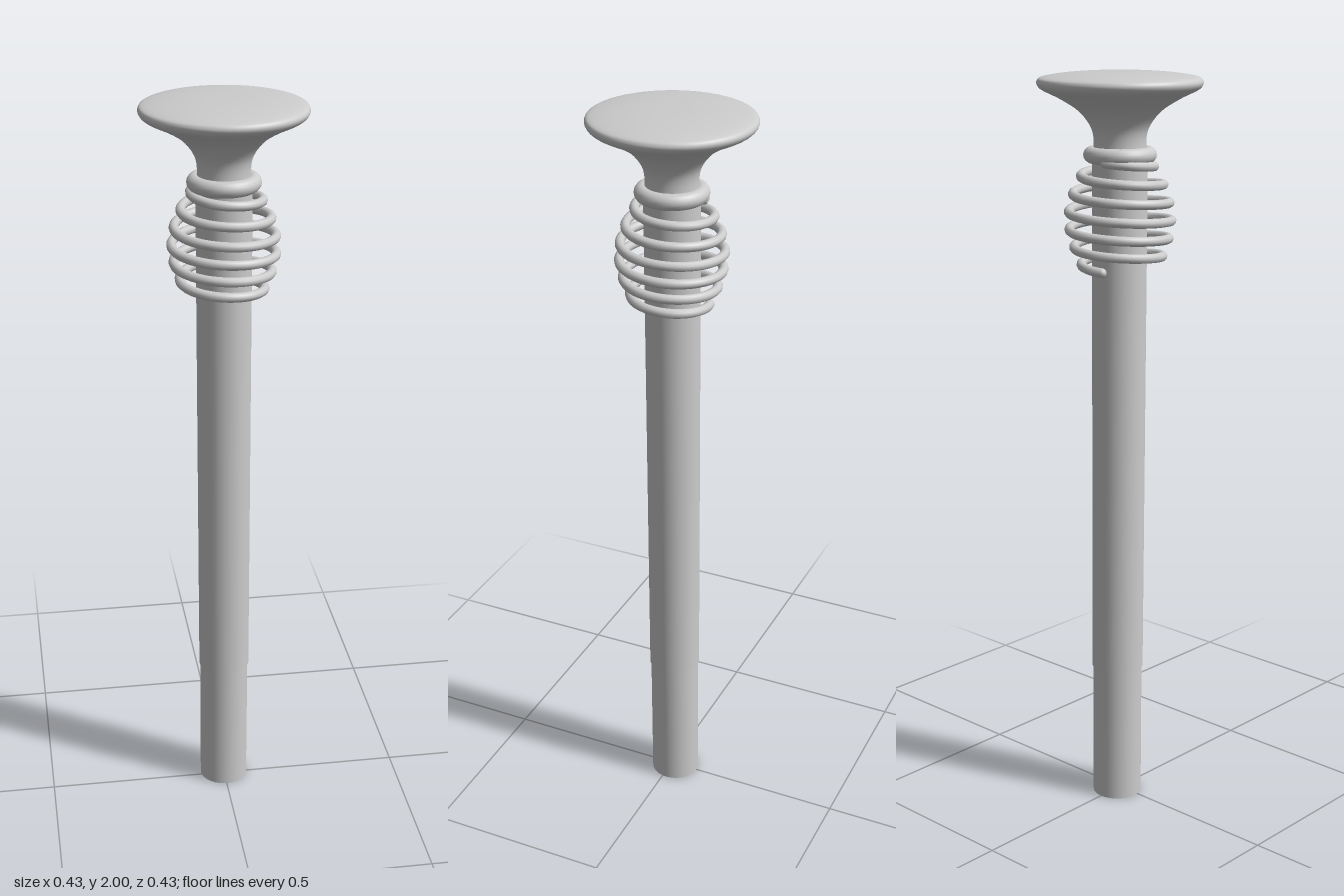
import * as THREE from 'three';

const steel = new THREE.MeshStandardMaterial({ color: 0xcccccc });
steel.name = 'steel grey';

function addPart(group, name, geometry) {
  const mesh = new THREE.Mesh(geometry, steel);
  mesh.name = name;
  group.add(mesh);
  return mesh;
}

// Round bar whose axis leans from a bottom centre to a top centre
function leaningBar(rTop, rBottom, bottom, top) {
  const height = top.y - bottom.y;
  const geometry = new THREE.CylinderGeometry(rTop, rBottom, height, 48, 1);
  const p = geometry.attributes.position;
  for (let i = 0; i < p.count; i++) {
    const t = p.getY(i) / height + 0.5;
    p.setXYZ(i,
      p.getX(i) + THREE.MathUtils.lerp(bottom.x, top.x, t),
      THREE.MathUtils.lerp(bottom.y, top.y, t),
      p.getZ(i) + THREE.MathUtils.lerp(bottom.z, top.z, t));
  }
  return geometry;
}

// Barrel-shaped coil, wound downwards and ending at the back
class BarrelCoil extends THREE.Curve {
  getPoint(t, target = new THREE.Vector3()) {
    const turns = 6;
    const angle = -Math.PI * 0.58 + (1 - t) * turns * Math.PI * 2;
    const r = 0.08 + 0.018 * t + 0.045 * Math.sin(Math.PI * t);
    const y = THREE.MathUtils.lerp(1.775, 1.497, t);
    return target.set(r * Math.cos(angle), y, r * Math.sin(angle));
  }
}

export function createModel() {
  const model = new THREE.Group();
  model.name = 'pushPin';

  // Domed head flaring out of a narrow neck
  const lower = new THREE.SplineCurve([
    [0.07, 1.78], [0.068, 1.83], [0.078, 1.865], [0.108, 1.902],
    [0.155, 1.932], [0.198, 1.953], [0.211, 1.965], [0.212, 1.977],
    [0.2, 1.986], [0.15, 1.994], [0.08, 1.999], [0, 2],
  ].map(([x, y]) => new THREE.Vector2(x, y)));
  const profile = lower.getPoints(48);
  profile[profile.length - 1].set(0, 2);
  addPart(model, 'head', new THREE.LatheGeometry(profile, 64));

  // Rounded collar under the neck
  const collar = new THREE.TorusGeometry(0.074, 0.021, 16, 48);
  collar.rotateX(Math.PI / 2);
  addPart(model, 'collar', collar).position.y = 1.79;

  // Slightly leaning shaft with a narrower tip
  const top = new THREE.Vector3(0, 1.8, 0);
  const step = new THREE.Vector3(0.001, 0.38, -0.009);
  const foot = new THREE.Vector3(0, 0, -0.012);
  addPart(model, 'shaft', leaningBar(0.072, 0.07, step, top));
  addPart(model, 'tip', leaningBar(0.067, 0.067, foot, step));

  // Coil spring with capped wire ends
  const coil = new BarrelCoil();
  addPart(model, 'spring', new THREE.TubeGeometry(coil, 360, 0.0125, 10, false));
  for (const t of [0, 1]) {
    const cap = addPart(model, 'springEnd', new THREE.SphereGeometry(0.0125, 12, 8));
    cap.position.copy(coil.getPoint(t));
  }
  return model;
}
